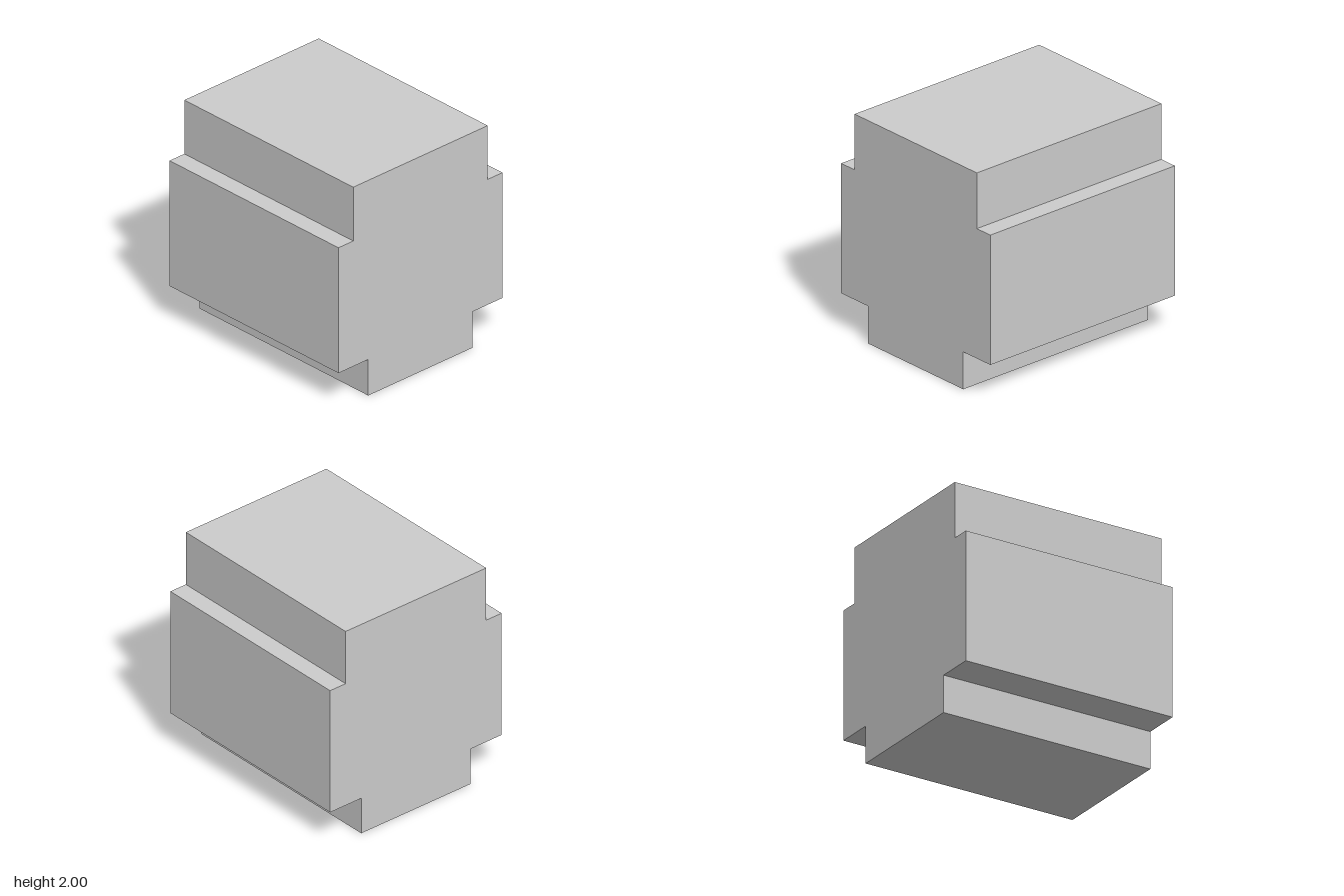
import * as THREE from 'three';

// Half of the stepped front outline, from bottom to top: [x, y]
const HALF_PROFILE = [
  [0.583, 0], [0.583, 0.335],
  [0.915, 0.335], [0.915, 1.5],
  [0.75, 1.5], [0.75, 2],
];
const DEPTH = 2;

export function createModel() {
  const group = new THREE.Group();
  group.name = 'steppedBlock';

  // Mirror the half outline to close the symmetric section
  const mirrored = HALF_PROFILE.map(([x, y]) => [-x, y]).reverse();
  const outline = [...HALF_PROFILE, ...mirrored].map(([x, y]) => new THREE.Vector2(x, y));

  // Solid body: the section extruded from back to front
  const geometry = new THREE.ExtrudeGeometry(new THREE.Shape(outline), {
    depth: DEPTH,
    bevelEnabled: false,
  });
  geometry.translate(0, 0, -DEPTH / 2);

  const material = new THREE.MeshStandardMaterial({ color: 0xcccccc, flatShading: true });
  const body = new THREE.Mesh(geometry, material);
  body.name = 'body';
  group.add(body);
  return group;
}
